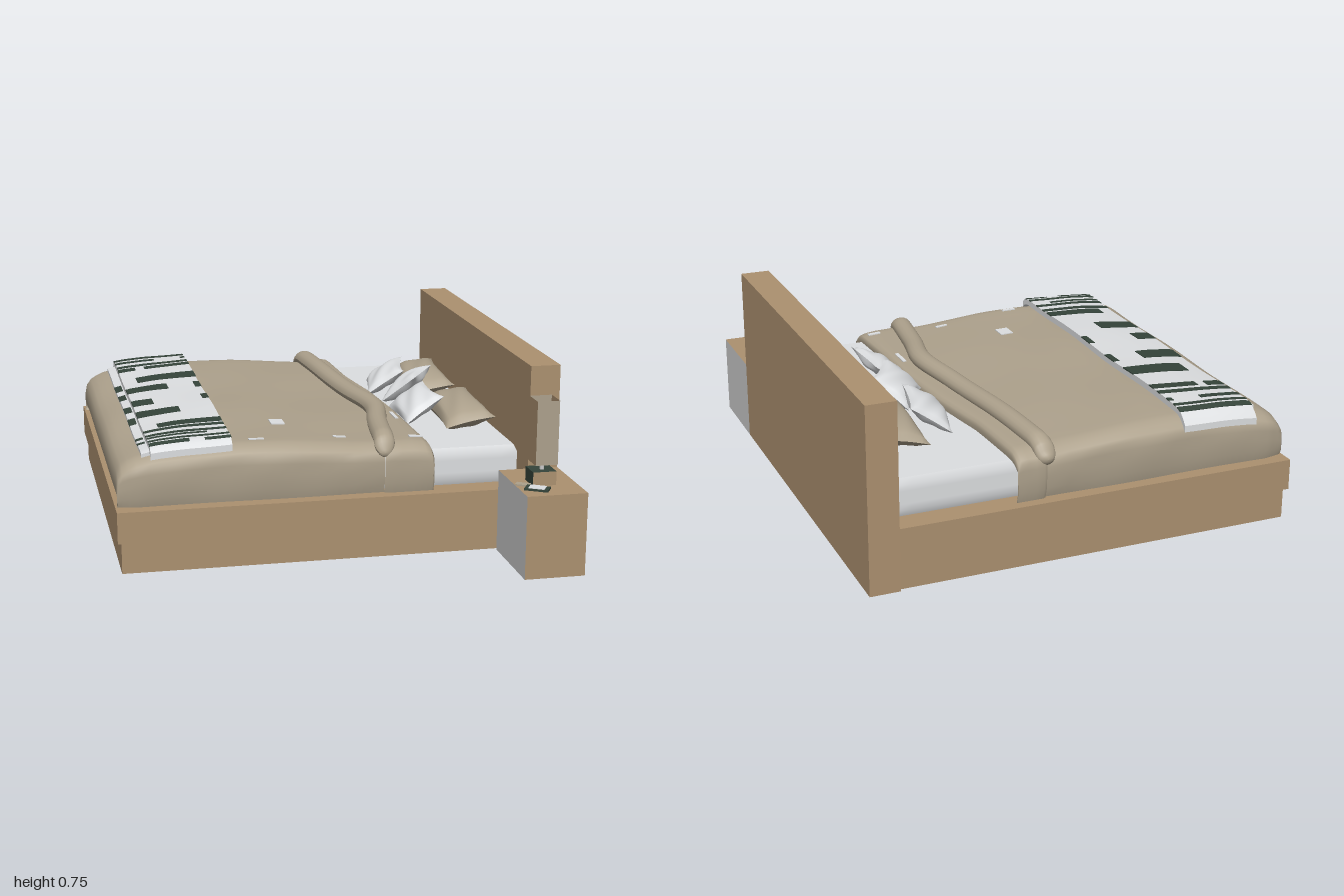
import * as THREE from 'three';

const mat = (name, color, side = THREE.FrontSide) => {
  const m = new THREE.MeshStandardMaterial({ color, side });
  m.name = name;
  return m;
};

// piecewise linear lookup through [position, value] pairs
const lookup = (pts, v) => {
  if (v <= pts[0][0]) return pts[0][1];
  for (let i = 1; i < pts.length; i++) {
    const [a, p] = pts[i - 1], [b, q] = pts[i];
    if (v <= b) return p + (q - p) * (v - a) / (b - a);
  }
  return pts[pts.length - 1][1];
};

// bedding dimensions and guide lines
const HEM = 0.25, BACK = -0.962, FRONT = 0.602;
const TOP = [[-0.81, 0.428], [-0.72, 0.45], [-0.6, 0.463], [-0.4, 0.473], [-0.2, 0.467], [0, 0.455], [0.2, 0.44], [0.38, 0.428]];
const rollPath = new THREE.CatmullRomCurve3(
  [[0.155, -0.97], [0.185, -0.55], [0.225, -0.2], [0.26, 0.08], [0.22, 0.3], [0.18, 0.6]].map(([x, z]) => new THREE.Vector3(x, 0, z)));
const rollLine = rollPath.getPoints(40).map(p => [p.z, p.x]);
const headLine = [[-0.97, 0.275], [-0.6, 0.29], [-0.3, 0.335], [0, 0.36], [0.3, 0.365], [0.6, 0.378]];

const shoulder = d => 1 - 0.24 * Math.pow(Math.max(0, 1 - d / 0.09), 2.5);
const topAt = (x, z) => lookup(TOP, x) + 0.004 * Math.sin(9 * z + 5 * x) * Math.sin(7 * x + 1);
const surface = (x, z) => HEM + (topAt(x, z) - HEM) * shoulder(Math.min(z - BACK, FRONT - z));

// move every vertex of a geometry by a rule
function bend(geo, rule) {
  const p = geo.attributes.position, v = new THREE.Vector3();
  for (let i = 0; i < p.count; i++) {
    rule(v.fromBufferAttribute(p, i));
    p.setXYZ(i, v.x, v.y, v.z);
  }
  geo.computeVertexNormals();
  return geo;
}

// cloth over the mattress; stations are [position, height factor, side inset]
function drape(stations, xAt, lift = 0) {
  const rim = [[0.012, 0], [0.002, 0.2], [0, 0.45], [0, 0.65], [0.004, shoulder(0.004)], [0.015, shoulder(0.015)], [0.035, shoulder(0.035)], [0.06, shoulder(0.06)]];
  const pos = [], index = [];
  let row = 0;
  stations.forEach(([s, k, inset = 0]) => {
    const z0 = BACK + inset - lift * 0.7, z1 = FRONT - inset + lift * 0.7;
    const section = rim.map(([d, f]) => [z0 + d, f]);
    for (let i = 0; i <= 24; i++) section.push([z0 + 0.09 + (z1 - z0 - 0.18) * i / 24, 1]);
    [...rim].reverse().forEach(([d, f]) => section.push([z1 - d, f]));
    row = section.length;
    section.forEach(([z, f]) => {
      const x = xAt(s, z);
      const flutter = f < 0.7 ? 0.004 * Math.sin(17 * x) * f : 0;
      pos.push(x, HEM + (topAt(x, z) + lift - HEM) * f * k, z + Math.sign(z) * flutter);
    });
  });
  for (let i = 0; i < stations.length - 1; i++) {
    for (let j = 0; j < row - 1; j++) {
      const a = i * row + j, b = a + row;
      index.push(a, a + 1, b, a + 1, b + 1, b);
    }
  }
  const geo = new THREE.BufferGeometry();
  geo.setAttribute('position', new THREE.Float32BufferAttribute(pos, 3));
  geo.setIndex(index);
  geo.computeVertexNormals();
  return geo;
}

// slab that follows the duvet
function slabOnDuvet(x0, x1, z0, z1, thick, lift) {
  const geo = new THREE.BoxGeometry(x1 - x0, thick, z1 - z0, 8, 1, Math.max(2, Math.ceil((z1 - z0) * 50)));
  geo.translate((x0 + x1) / 2, 0, (z0 + z1) / 2);
  return bend(geo, v => { v.y += surface(v.x, v.z) + lift; });
}

// cushion with pinched corners
function pillowGeometry(w, h, l) {
  return bend(new THREE.BoxGeometry(2, 2, 2, 14, 1, 18), v => {
    const { x: u, z: t } = v;
    const puff = Math.sqrt(Math.max(0, (1 - u * u) * (1 - t * t)));
    v.set(u * w * (1 - 0.13 * (1 - t * t) * u * u),
      Math.sign(v.y) * h * puff + 0.004 * Math.sin(6 * u + 4 * t) * puff,
      t * l * (1 - 0.07 * (1 - u * u) * t * t));
  });
}

export function createModel() {
  const root = new THREE.Group();
  const wood = mat('wood', 0xac9170);
  const white = mat('mattressWhite', 0xdddfe1);
  const grey = mat('drawerGrey', 0xcdcdcd);
  const cloth = mat('beigeCloth', 0xada18c, THREE.DoubleSide);
  const green = mat('darkGreen', 0x35443a);
  const shadeWood = mat('shadeWood', 0xac9170, THREE.DoubleSide);

  const add = (name, geo, material, parent = root) => {
    const m = new THREE.Mesh(geo, material);
    m.name = name;
    parent.add(m);
    return m;
  };
  const box = (name, material, x0, x1, y0, y1, z0, z1, parent) => {
    const geo = new THREE.BoxGeometry(x1 - x0, y1 - y0, z1 - z0);
    geo.translate((x0 + x1) / 2, (y0 + y1) / 2, (z0 + z1) / 2);
    return add(name, geo, material, parent);
  };

  // bed frame
  box('headboard', wood, 0.75, 0.87, 0, 0.745, -1, 0.645);
  box('platform', wood, -0.875, 0.75, 0.125, 0.25, -1, 0.645);
  box('plinth', wood, -0.86, 0.75, 0, 0.125, -0.985, 0.63);

  // mattress with softened edges
  add('mattress', bend(new THREE.BoxGeometry(1.53, 0.152, 1.46, 24, 6, 24), v => {
    const e = [[0.765, 'x'], [0.73, 'z']];
    const side = Math.max(...e.map(([half, a]) => Math.abs(v[a]) / half));
    if (side > 0.99 && Math.abs(v.y) > 0.07) { v.x *= 0.985; v.z *= 0.985; }
    v.x -= 0.03;
    v.y += 0.326;
    v.z -= 0.18;
  }), white);

  // duvet, its turned-back edge and the rolled fold
  const foot = [[-0.853, 0, 0.03], [-0.866, 0.25, 0.022], [-0.868, 0.55, 0.02], [-0.862, 0.75, 0.016], [-0.845, 0.88, 0.012], [-0.82, 0.96, 0.006], [-0.79, 1, 0]];
  const body = [];
  for (let x = -0.74; x < 0.11; x += 0.05) body.push([x, 1, 0.003 + 0.003 * Math.sin(9 * x)]);
  add('duvet', drape([...foot, ...body, [0.2, 1, 0.005]], (s, z) => (s > 0.15 ? lookup(rollLine, z) : s)), cloth);
  add('duvetTurnback', drape([[0, 0.97, 0.006], [0.1, 1], [0.35, 0.99], [0.6, 1], [0.85, 0.99], [0.96, 0.95], [1, 0.88], [0.98, 0.78]],
    (s, z) => THREE.MathUtils.lerp(lookup(rollLine, z), lookup(headLine, z), s), 0.012), cloth);
  const roll = new THREE.CapsuleGeometry(0.042, 1.5, 8, 16, 50).rotateX(Math.PI / 2);
  add('duvetFold', bend(roll, v => {
    v.z -= 0.185;
    v.x += lookup(rollLine, v.z);
    v.y = v.y * 0.85 + surface(0.2, THREE.MathUtils.clamp(v.z, BACK, FRONT)) + 0.02;
  }), cloth);

  // pale patches on the duvet
  [[-0.215, -0.16, 0.22, 0.29], [-0.345, -0.285, 0.5, 0.515], [0, 0.05, 0.46, 0.475], [0.315, 0.33, 0.12, 0.22], [0.3, 0.355, 0.49, 0.51]]
    .forEach(([a, b, c, d]) => add('duvetPatch', slabOnDuvet(a, b, c, d, 0.004, a > 0.2 ? 0.016 : 0.004), white));

  // folded throw in two layers, with printed bars
  add('throwLower', slabOnDuvet(-0.768, -0.44, -0.88, 0.55, 0.014, 0.006), white);
  add('throwUpper', slabOnDuvet(-0.735, -0.42, -0.962, 0.582, 0.026, 0.021), white);
  const L = -0.736, R = -0.419;
  const bars = [
    [L, R, -0.92, -0.895], [L, R, -0.88, -0.862], [L, -0.56, -0.83, -0.805], [-0.44, R, -0.83, -0.805],
    [L, R, -0.755, -0.727], [L, -0.66, -0.705, -0.66], [-0.62, R, -0.7, -0.66], [-0.675, R, -0.525, -0.435],
    [L, -0.56, -0.35, -0.265], [-0.445, R, -0.35, -0.265], [L, -0.65, -0.12, -0.04], [-0.445, R, -0.12, -0.04],
    [L, -0.56, 0.05, 0.13], [-0.675, R, 0.265, 0.32], [L, R, 0.34, 0.366], [L, R, 0.41, 0.432],
    [L, -0.5, 0.45, 0.465], [L, R, 0.495, 0.512], [L, -0.58, 0.53, 0.55], [-0.52, R, 0.535, 0.55]];
  bars.forEach(([a, b, c, d]) => add('throwBar', slabOnDuvet(a, b, c, d, 0.005, 0.034), green));
  [[-0.525, -0.435], [-0.35, -0.265], [-0.12, -0.04], [0.05, 0.13], [0.34, 0.366], [0.41, 0.432]]
    .forEach(([c, d]) => add('throwLowerBar', slabOnDuvet(-0.77, -0.74, c, d, 0.004, 0.013), green));

  // pillows: x, y, z, half width, half thickness, half length, yaw, tilt
  const pillows = [
    ['beigePillow', cloth, 0.605, 0.45, -0.455, 0.105, 0.055, 0.255, -0.07, 0.2],
    ['beigePillow', cloth, 0.61, 0.45, 0.11, 0.105, 0.055, 0.25, -0.04, 0.2],
    ['whiteCushion', white, 0.435, 0.465, -0.445, 0.098, 0.04, 0.14, -0.22, 0.6],
    ['whiteCushion', white, 0.475, 0.485, -0.205, 0.098, 0.04, 0.125, -0.55, 0.68],
    ['whiteCushion', white, 0.445, 0.465, 0.05, 0.098, 0.04, 0.14, 0.06, 0.6]];
  pillows.forEach(([name, m, x, y, z, w, h, l, yaw, tilt]) => {
    const p = add(name, pillowGeometry(w, h, l), m);
    p.position.set(x, y, z);
    p.rotation.set(0, yaw, tilt, 'YZX');
  });

  // nightstand: material order is +x, -x, top, bottom, +z, -z
  box('nightstand', [grey, grey, wood, grey, wood, wood], 0.63, 0.87, 0, 0.33, 0.645, 1);

  // lamp
  const lamp = new THREE.Group();
  lamp.name = 'lamp';
  root.add(lamp);
  box('lampBase', [green, green, green, green, wood, green], 0.692, 0.785, 0.33, 0.385, 0.786, 0.878, lamp);
  add('lampNeck', new THREE.CylinderGeometry(0.009, 0.009, 0.075, 12).translate(0.74, 0.42, 0.836), grey, lamp);
  add('lampBulb', new THREE.SphereGeometry(0.024, 16, 12).translate(0.74, 0.475, 0.836), white, lamp);
  for (let i = 0; i < 4; i++) {
    const panel = new THREE.PlaneGeometry(i % 2 ? 0.095 : 0.088, 0.252);
    panel.translate(0, 0, i % 2 ? 0.044 : 0.0475).rotateY(i * Math.PI / 2).translate(0.742, 0.539, 0.837);
    add('lampShadePanel', panel, i % 2 ? shadeWood : cloth, lamp);
  }

  // small things on the nightstand
  const flat = (name, m, x, y, z, w, h, l, yaw) => {
    const p = add(name, new THREE.BoxGeometry(w, h, l), m);
    p.position.set(x, y, z);
    p.rotation.y = yaw;
  };
  flat('phoneBody', green, 0.697, 0.334, 0.918, 0.092, 0.008, 0.055, -0.55);
  flat('phoneScreen', white, 0.697, 0.339, 0.918, 0.062, 0.003, 0.046, -0.55);
  flat('notePad', cloth, 0.66, 0.333, 0.853, 0.055, 0.006, 0.032, -0.55);

  return root;
}
